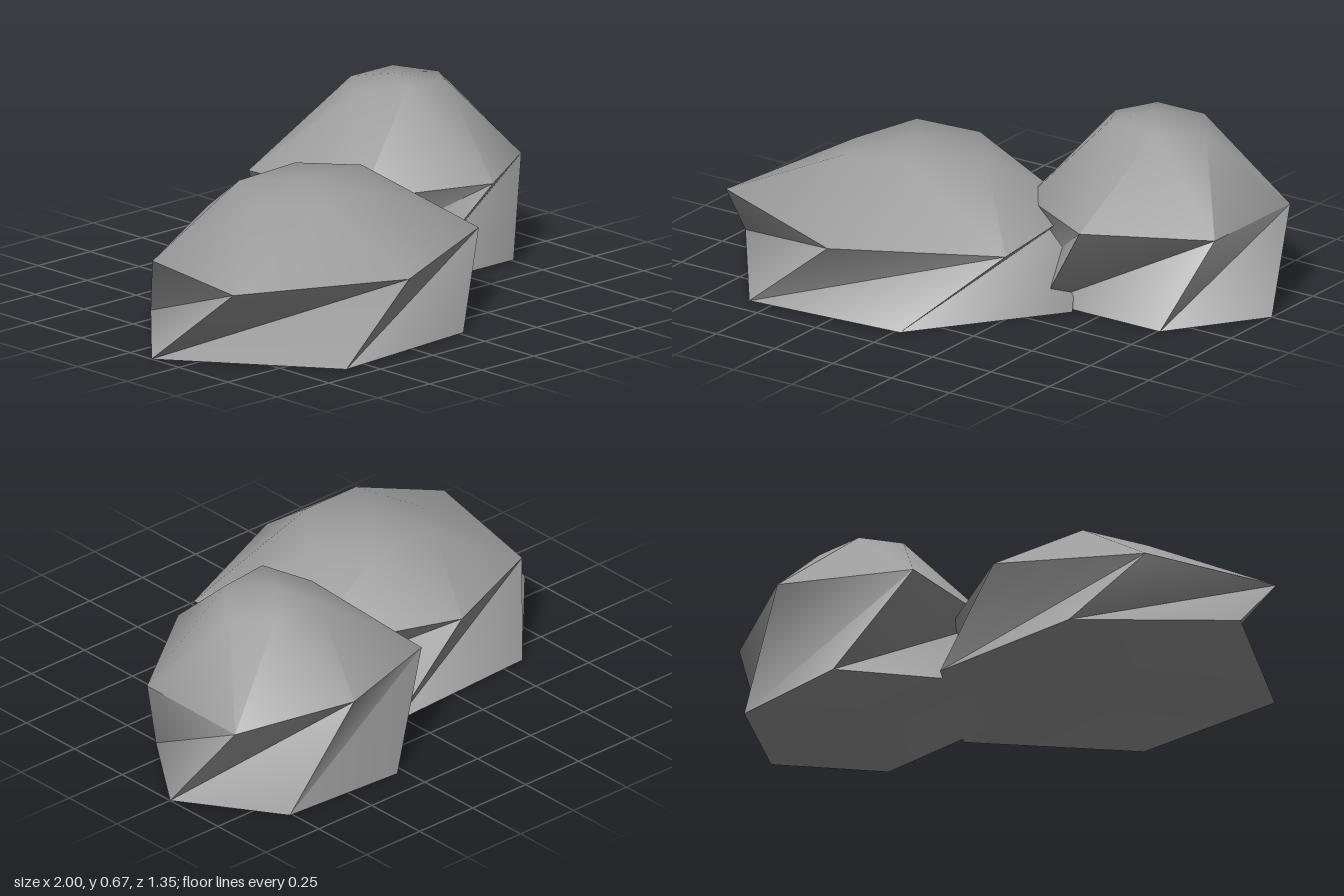
import * as THREE from 'three';
import { toCreasedNormals } from 'three/addons/utils/BufferGeometryUtils.js';

// A faceted boulder: stacked six-point rings joined by twisted quads, closed by two fans.
function boulder(name, material, rings, apex) {
  const pos = [];
  const tri = (a, b, c) => pos.push(...a, ...b, ...c);
  const n = rings[0].length;
  const base = rings[0];
  const top = rings[rings.length - 1];
  const foot = [apex[0], 0, apex[2]];
  for (let i = 0; i < n; i++) {
    const j = (i + 1) % n;
    tri(foot, base[j], base[i]);
    for (let r = 0; r + 1 < rings.length; r++) {
      const lo = rings[r], hi = rings[r + 1];
      tri(lo[i], lo[j], hi[j]);
      tri(lo[i], hi[j], hi[i]);
    }
    tri(top[i], top[j], apex);
  }
  const geo = new THREE.BufferGeometry();
  geo.setAttribute('position', new THREE.Float32BufferAttribute(pos, 3));
  const mesh = new THREE.Mesh(toCreasedNormals(geo, 1.0), material);
  mesh.name = name;
  return mesh;
}

export function createModel() {
  const stone = new THREE.MeshStandardMaterial({ color: 0x9c9c9c });
  stone.name = 'stone grey';

  const group = new THREE.Group();
  group.name = 'rocks';

  // Wide, low rock: ground ring, overhanging waist, crown
  group.add(boulder('largeRock', stone, [
    [[-1, 0, 0.11], [-0.59, 0, 0.67], [0.02, 0, 0.62], [0.4, 0, 0.11], [0.03, 0, -0.36], [-0.59, 0, -0.33]],
    [[-0.88, 0.27, 0.4], [-0.27, 0.26, 0.65], [0.31, 0.275, 0.39], [0.26, 0.28, -0.13], [-0.26, 0.31, -0.38], [-0.77, 0.26, -0.13]],
    [[-0.52, 0.455, 0.12], [-0.41, 0.485, 0.34], [-0.16, 0.5, 0.32], [0.02, 0.5, 0.1], [-0.13, 0.5, -0.08], [-0.4, 0.49, -0.08]],
  ], [-0.27, 0.515, 0.12]));

  // Taller, narrower rock behind it
  group.add(boulder('smallRock', stone, [
    [[0.26, 0, 0.09], [0.76, 0, 0.09], [1, 0, -0.25], [0.76, 0, -0.61], [0.28, 0, -0.64], [0.03, 0, -0.25]],
    [[0.52, 0.36, 0.24], [0.91, 0.335, -0.03], [0.91, 0.33, -0.49], [0.52, 0.395, -0.68], [0.03, 0.35, -0.49], [0.12, 0.33, -0.01]],
    [[0.42, 0.66, -0.09], [0.61, 0.65, -0.1], [0.72, 0.625, -0.25], [0.62, 0.64, -0.38], [0.42, 0.64, -0.38], [0.33, 0.63, -0.25]],
  ], [0.5, 0.665, -0.24]));

  return group;
}
